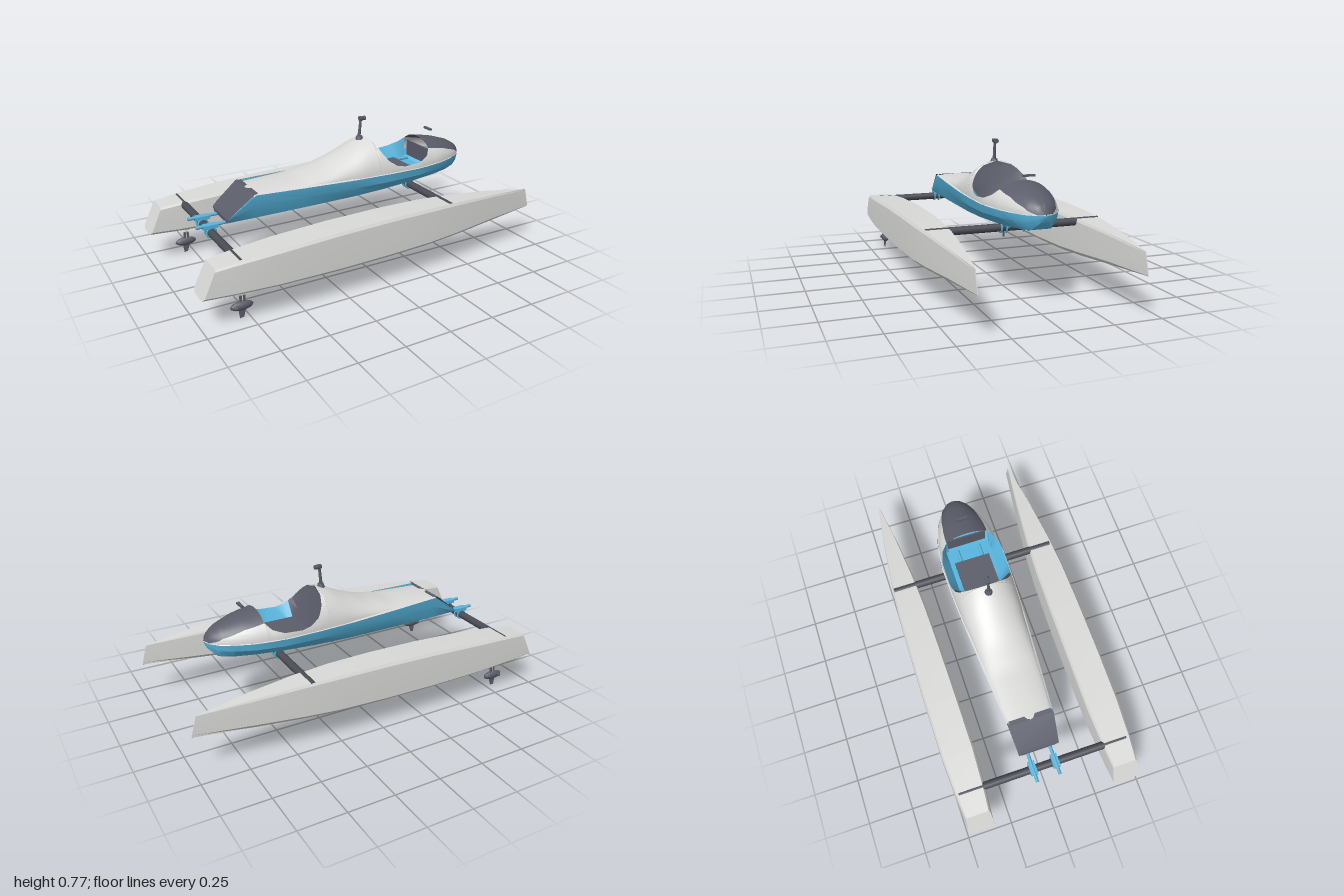
import * as THREE from 'three';
import { toCreasedNormals } from 'three/addons/utils/BufferGeometryUtils.js';

const material = (name, color, side = THREE.FrontSide) => {
  const m = new THREE.MeshStandardMaterial({ color, side });
  m.name = name;
  return m;
};

// Linear lookup in a table of [x, value] pairs
function at(table, x) {
  if (x <= table[0][0]) return table[0][1];
  for (let i = 1; i < table.length; i++) {
    const [x0, v0] = table[i - 1], [x1, v1] = table[i];
    if (x <= x1) return v0 + (v1 - v0) * (x - x0) / (x1 - x0);
  }
  return table[table.length - 1][1];
}

const range = (a, b, n) => Array.from({ length: n + 1 }, (_, i) => a + (b - a) * i / n);

// Skin over rows of [x, y, z]; rows run along +x, points run from +z over the top to -z
function loft(rows, closed = false, crease = 0.5) {
  const n = rows[0].length, index = [];
  for (let i = 0; i < rows.length - 1; i++) {
    for (let j = 0; j < (closed ? n : n - 1); j++) {
      const a = i * n + j, b = i * n + (j + 1) % n;
      index.push(a, a + n, b, b, a + n, b + n);
    }
  }
  if (closed) {
    const last = (rows.length - 1) * n;
    for (let j = 1; j < n - 1; j++) index.push(0, j, j + 1, last, last + j + 1, last + j);
  }
  const g = new THREE.BufferGeometry();
  g.setAttribute('position', new THREE.Float32BufferAttribute(rows.flat(2), 3));
  g.setIndex(index);
  return toCreasedNormals(g, crease);
}

export function createModel() {
  const white = material('white shell', 0xd9d9d7, THREE.DoubleSide);
  const blue = material('blue hull', 0x57b5de, THREE.DoubleSide);
  const dark = material('dark trim', 0x5b5d6a, THREE.DoubleSide);
  const beamGrey = material('beam grey', 0x4a4c55);

  const model = new THREE.Group();
  const add = (name, geometry, mat, x = 0, y = 0, z = 0, parent = model) => {
    const mesh = new THREE.Mesh(geometry, mat);
    mesh.name = name;
    mesh.position.set(x, y, z);
    parent.add(mesh);
    return mesh;
  };

  // Outrigger hulls: [x top, x bottom, y top, y bottom, half width]
  const stations = [
    [-0.93, -1.0, 0.32, 0.17, 0.07], [-0.8, -0.85, 0.335, 0.163, 0.082],
    [-0.6, -0.62, 0.35, 0.156, 0.093], [-0.3, -0.3, 0.366, 0.151, 0.093],
    [0, 0, 0.373, 0.154, 0.09], [0.25, 0.25, 0.372, 0.161, 0.084],
    [0.45, 0.45, 0.365, 0.173, 0.07], [0.7, 0.7, 0.348, 0.19, 0.042],
    [0.97, 1.0, 0.32, 0.21, 0.002],
  ];
  const section = [[1, 0.12], [1, 0.45], [0.95, 0.93], [0.85, 1], [-0.85, 1],
    [-0.95, 0.93], [-1, 0.45], [-1, 0.12], [-0.75, 0.02], [0, 0], [0.75, 0.02]];
  const pontoonShape = loft(stations.map(([xt, xb, yt, yb, w]) =>
    section.map(([s, v]) => [xb + (xt - xb) * v, yb + (yt - yb) * v, s * w])), true, 0.25);

  const finShape = new THREE.Shape();
  [[-0.018, 0.05], [-0.012, 0], [0.008, 0.004], [0.022, 0.05]].forEach(([x, y], i) =>
    i ? finShape.lineTo(x, y) : finShape.moveTo(x, y));
  const finGeo = new THREE.ExtrudeGeometry(finShape, { depth: 0.004, bevelEnabled: false });

  [0.405, -0.417].forEach((z, i) => {
    const g = new THREE.Group();
    g.name = i ? 'rightOutrigger' : 'leftOutrigger';
    g.position.z = z;
    model.add(g);
    add('pontoon', pontoonShape, white, 0, 0, 0, g);
    // Drive pod with fin and blades below the stern
    add('driveMount', new THREE.CylinderGeometry(0.035, 0.028, 0.03, 12), white, -0.785, 0.153, 0, g).scale.z = 0.6;
    add('driveShaft', new THREE.CylinderGeometry(0.004, 0.004, 0.08, 8), white, -0.785, 0.105, 0, g);
    add('drivePod', new THREE.SphereGeometry(1, 12, 8), dark, -0.79, 0.066, 0, g).scale.set(0.06, 0.024, 0.019);
    add('driveFin', finGeo, dark, -0.79, 0, -0.002, g);
    add('driveStrut', new THREE.BoxGeometry(0.03, 0.04, 0.006), dark, -0.785, 0.1, 0, g);
    for (const s of [-1, 1])
      add('propellerBlade', new THREE.BoxGeometry(0.014, 0.012, 0.022), dark, -0.825, 0.066, s * 0.011, g).rotation.x = s * 0.5;
  });

  // Cross beams with blue clamps and brackets
  const cz = -0.008;
  [['rearBeam', -0.8, 0.315], ['frontBeam', 0.395, 0.35]].forEach(([name, x, y], i) => {
    add(name, new THREE.CylinderGeometry(0.021, 0.021, 0.94, 16), beamGrey, x, y, -0.01).rotation.x = Math.PI / 2;
    for (const z of [-0.07, 0.055]) {
      for (const d of [-0.014, 0.014])
        add('beamClamp', new THREE.TorusGeometry(0.025, 0.005, 6, 16), blue, x, y, z + d);
      const rod = add('bracketRod', new THREE.CylinderGeometry(0.009, 0.009, i ? 0.11 : 0.18, 10), blue,
        i ? 0.415 : -0.785, i ? 0.372 : 0.35, z);
      rod.rotation.z = Math.PI / 2;
      if (!i) add('bracketBlock', new THREE.BoxGeometry(0.075, 0.02, 0.036), blue, x, 0.346, z);
    }
  });

  // Lower pod: [x, y bottom, y top, half width bottom, half width top]
  const belt = 0.475;
  const lower = [
    [-0.72, 0.352, 0.372, 0.09, 0.112], [-0.70, 0.352, 0.392, 0.09, 0.113],
    [-0.57, 0.355, 0.486, 0.1, 0.125], [-0.3, 0.358, 0.48, 0.108, 0.146],
    [0, 0.362, belt, 0.115, 0.167], [0.2, 0.37, belt, 0.118, 0.178],
    [0.4, 0.382, belt, 0.115, 0.181], [0.55, 0.39, belt, 0.1, 0.157],
    [0.65, 0.396, belt, 0.08, 0.122], [0.72, 0.402, belt, 0.05, 0.082],
    [0.76, 0.44, belt, 0.022, 0.04], [0.775, 0.47, belt, 0.001, 0.002],
  ];
  add('podHull', loft(lower.map(([x, yb, yt, wb, wt]) => [
    [x, yt, cz - wt], [x, yb + (yt - yb) * 0.55, cz - wt * 0.95], [x, yb, cz - wb],
    [x, yb, cz + wb], [x, yb + (yt - yb) * 0.55, cz + wt * 0.95], [x, yt, cz + wt]])), blue);

  // Dark sloping stern panel with its end face
  const [s0, s1, s2] = lower;
  add('sternPanel', loft([
    [s0[0], s0[1], s0[3]], [s0[0], s0[2], s0[4]], [s1[0], s1[2] + 0.003, s1[4]],
    [s2[0] - 0.01, s2[2] + 0.004, s2[4]], [s2[0] + 0.015, s2[2] + 0.005, 0.115],
  ].map(([x, y, w]) => [[x, y, cz + w], [x, y, cz - w]])), dark);

  // Upper shell: half width and crown height along x
  const widths = lower.map(s => [s[0], s[4]]);
  const crown = [[-0.58, 0.49], [-0.3, 0.507], [-0.15, 0.54], [0, 0.597], [0.08, 0.638], [0.14, 0.655],
    [0.3, 0.63], [0.49, 0.602], [0.6, 0.583], [0.7, 0.55], [0.75, 0.52], [0.775, 0.477]];
  const rimHeight = [[0.14, 0.655], [0.17, 0.59], [0.2, 0.545], [0.25, 0.512], [0.3, 0.501],
    [0.4, 0.508], [0.46, 0.53], [0.49, 0.562]];
  const hoodAngle = [[0.49, 0.75], [0.6, 0.66], [0.7, 0.45], [0.775, 0.05]];
  const shellPoint = (x, a) => {
    const w = at(widths, x) * (x < 0 ? 0.95 : 0.97);
    return [x, belt + (at(crown, x) - belt) * Math.sin(a), cz + w * Math.cos(a)];
  };
  const rim = x => Math.asin(Math.min(1, (at(rimHeight, x) - belt) / (at(crown, x) - belt)));
  const hood = x => at(hoodAngle, x);
  const patch = (name, xs, lo, hi, n, mat) =>
    add(name, loft(xs.map(x => range(lo(x), hi(x), n).map(a => shellPoint(x, a))), false, 0.6), mat);
  const zero = () => 0, half = () => Math.PI;

  const cockpitXs = [0.14, 0.15, 0.16, 0.17, 0.185, 0.2, 0.225, 0.25, 0.3, 0.35, 0.4, 0.43, 0.46, 0.49];
  const noseXs = [...range(0.49, 0.7, 6), 0.72, 0.735, 0.75, 0.76, 0.775];
  patch('rearDeck', range(-0.58, 0.14, 18), zero, half, 24, white);
  for (const [xs, edge, name] of [[cockpitXs, rim, 'cockpitSide'], [noseXs, hood, 'noseSide']]) {
    patch(name, xs, zero, edge, 8, white);
    patch(name, xs, x => Math.PI - edge(x), half, 8, white);
  }
  patch('noseHood', noseXs, hood, x => Math.PI - hood(x), 16, dark);

  // Belt ledge closing the gap between shell and hull
  const ledgeXs = [...range(-0.56, 0.7, 20), 0.72, 0.76, 0.775];
  for (const s of [1, -1]) {
    add('beltLedge', loft(ledgeXs.map(x => {
      const w = at(widths, x), y = at(lower.map(l => [l[0], l[2]]), x);
      const p = [[x, y, cz + s * w], [x, y + 0.006, cz + s * w * 0.93]];
      return s > 0 ? p : p.reverse();
    })), white);
  }

  // Cockpit lining: dark seat back, blue tub
  const floorY = [[0.14, 0.65], [0.17, 0.57], [0.2, 0.5], [0.225, 0.452], [0.25, 0.44]];
  const floorW = [[0.14, 0.001], [0.17, 0.075], [0.2, 0.1], [0.25, 0.125], [0.49, 0.125]];
  const lining = (name, xs, mat) => add(name, loft(xs.map(x => {
    const [, y, z] = shellPoint(x, rim(x)), w = at(floorW, x), f = at(floorY, x), e = z - cz;
    return [[x, y, cz + e], [x, f, cz + w], [x, f, cz - w], [x, y, cz - e]];
  })), mat);
  lining('seatBack', cockpitXs.filter(x => x <= 0.225), dark);
  lining('cockpitTub', cockpitXs.filter(x => x >= 0.225), blue);
  add('seatCushion', new THREE.BoxGeometry(0.19, 0.016, 0.2), dark, 0.31, 0.448, cz);
  add('dashboard', new THREE.BoxGeometry(0.008, 0.09, 0.22), dark, 0.505, 0.5, cz);
  for (const z of [-0.07, 0.055])
    add('footRail', new THREE.CylinderGeometry(0.009, 0.009, 0.07, 10), blue, 0.44, 0.455, z).rotation.z = Math.PI / 2;

  // Mast with a small sensor head, and the little plate ahead of the cockpit
  add('mastBase', new THREE.CylinderGeometry(0.016, 0.022, 0.02, 14), dark, 0.105, 0.652, cz);
  add('mast', new THREE.CylinderGeometry(0.007, 0.009, 0.1, 10), dark, 0.108, 0.705, cz).rotation.z = -0.1;
  add('mastHead', new THREE.CylinderGeometry(0.012, 0.012, 0.038, 12), dark, 0.122, 0.758, cz).rotation.z = Math.PI / 2;
  add('mastCap', new THREE.BoxGeometry(0.022, 0.012, 0.024), dark, 0.115, 0.762, cz);
  add('mirrorPlate', new THREE.BoxGeometry(0.016, 0.01, 0.064), dark, 0.568, 0.634, cz);

  return model;
}
